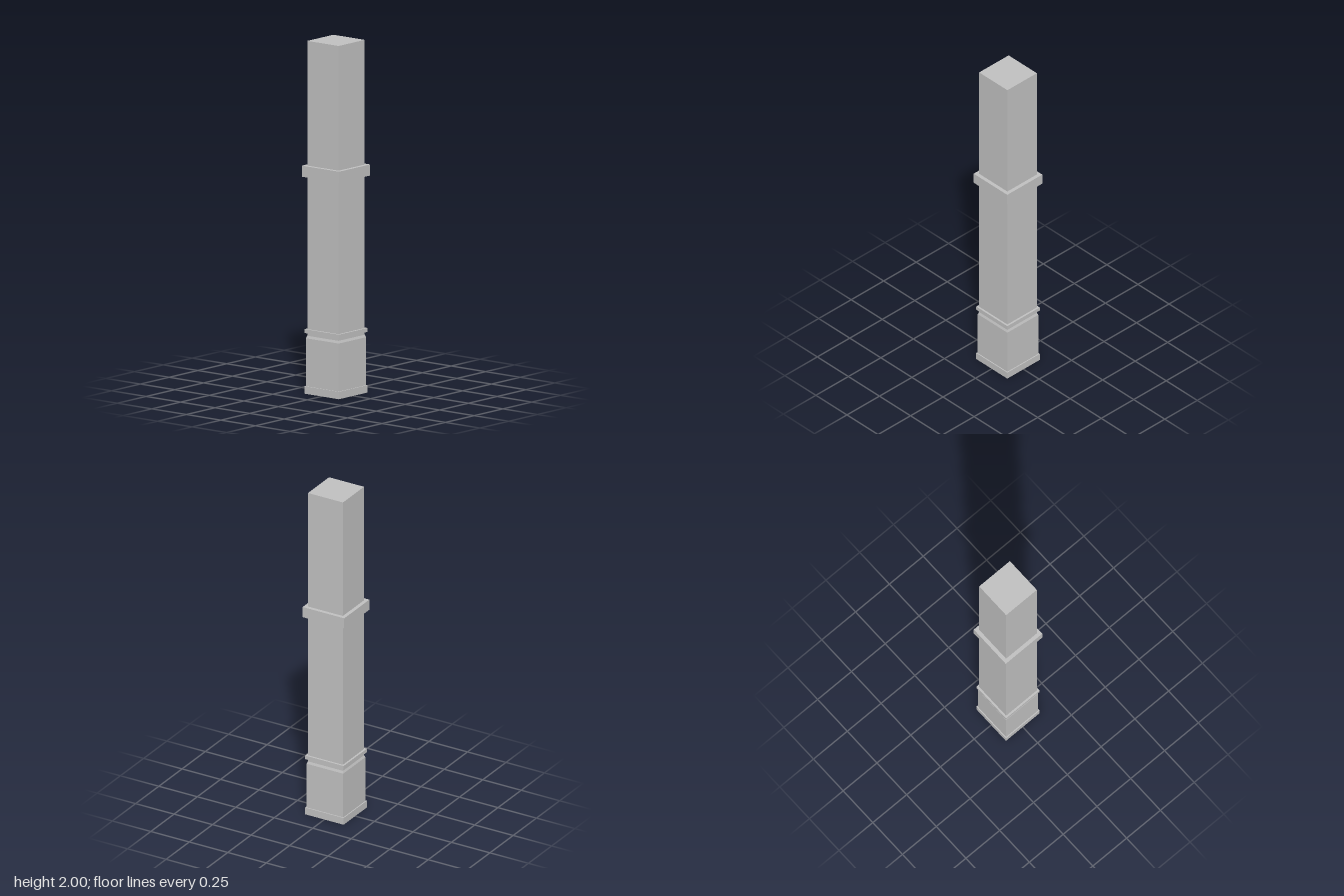
import * as THREE from 'three';

const stone = new THREE.MeshStandardMaterial({ color: 0xc0c0c0 });
stone.name = 'grey stone';

// Square block between two heights; a different top half-width makes a bevel
function tier(name, y0, y1, half, topHalf = half) {
  const geo = new THREE.BoxGeometry(2 * half, y1 - y0, 2 * half);
  const pos = geo.attributes.position;
  for (let i = 0; i < pos.count; i++) {
    if (pos.getY(i) > 0) {
      pos.setX(i, Math.sign(pos.getX(i)) * topHalf);
      pos.setZ(i, Math.sign(pos.getZ(i)) * topHalf);
    }
  }
  geo.computeVertexNormals();
  const mesh = new THREE.Mesh(geo, stone);
  mesh.name = name;
  mesh.position.y = (y0 + y1) / 2;
  return mesh;
}

export function createModel() {
  const column = new THREE.Group();
  column.name = 'squareColumn';
  column.add(
    // Pedestal
    tier('basePlinth', 0, 0.042, 0.125),
    tier('pedestalBlock', 0.042, 0.314, 0.119),
    tier('pedestalBevel', 0.314, 0.328, 0.119, 0.1135),
    tier('pedestalNeck', 0.328, 0.344, 0.1135),
    tier('pedestalCap', 0.344, 0.366, 0.125),
    // Shaft with its collar
    tier('shaft', 0.366, 2, 0.1135),
    tier('collar', 1.23, 1.293, 0.135),
  );
  return column;
}
